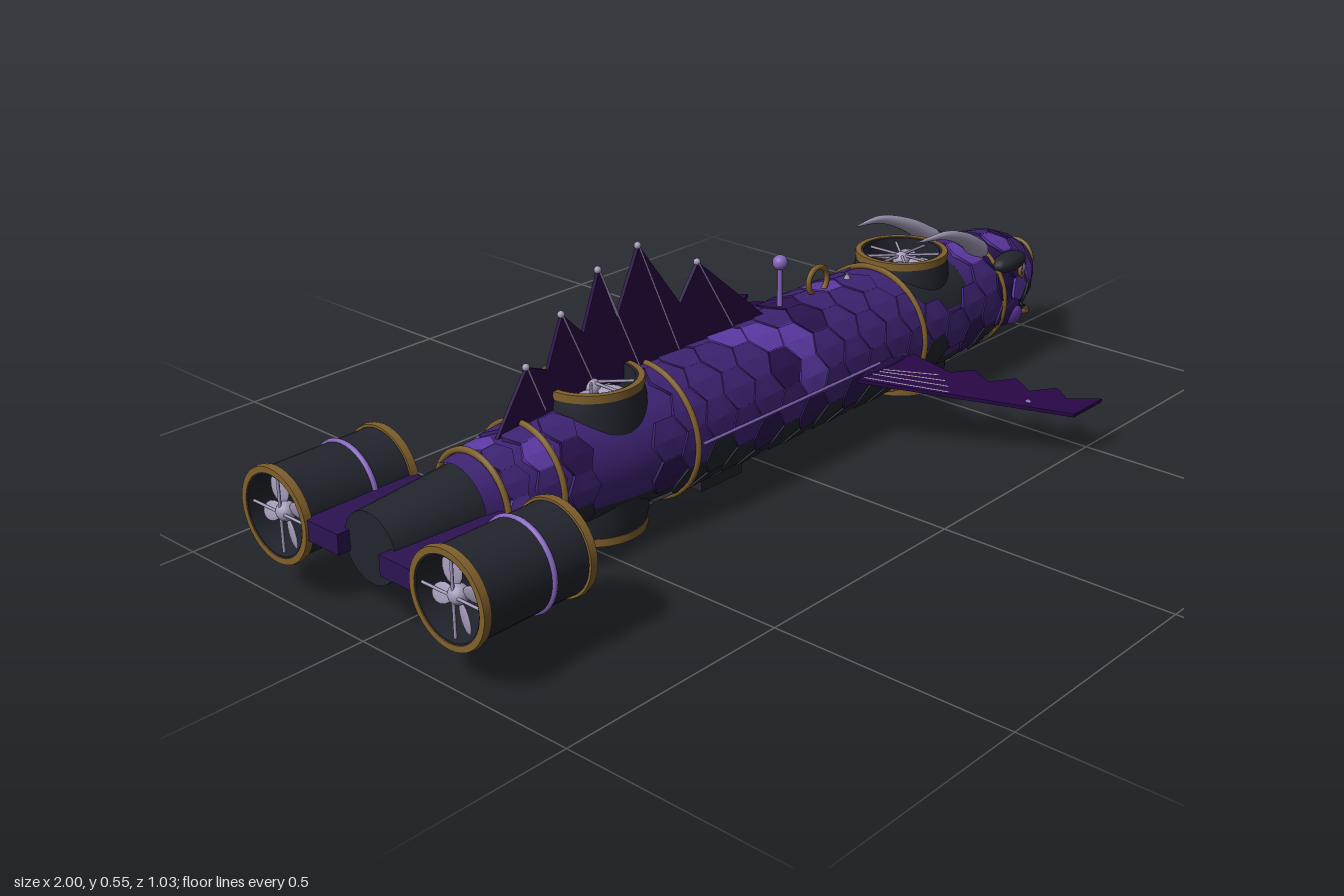
import * as THREE from 'three';
import { mergeGeometries, toCreasedNormals } from 'three/addons/utils/BufferGeometryUtils.js';

const mat = (name, color, side = THREE.FrontSide) =>
  Object.assign(new THREE.MeshStandardMaterial({ color, side }), { name });
const V = (x, y, z) => new THREE.Vector3(x, y, z);

// Hull stations: x, centre height, half height, half width
const STATIONS = [
  [-0.78, 0.17, 0.088, 0.083], [-0.62, 0.17, 0.108, 0.105], [-0.45, 0.166, 0.124, 0.124],
  [-0.3, 0.165, 0.132, 0.134], [0, 0.165, 0.134, 0.137], [0.55, 0.165, 0.134, 0.138],
  [0.7, 0.17, 0.125, 0.132], [0.85, 0.175, 0.1, 0.105], [0.92, 0.168, 0.082, 0.075],
  [0.96, 0.165, 0.06, 0.052], [0.985, 0.165, 0.001, 0.001],
];
const DUCTS = [-0.44, 0.51];

function section(x) {
  let i = 0;
  while (i < STATIONS.length - 2 && x > STATIONS[i + 1][0]) i++;
  const [a, b] = [STATIONS[i], STATIONS[i + 1]];
  return a.map((v, k) => THREE.MathUtils.lerp(v, b[k], (x - a[0]) / (b[0] - a[0])));
}
// Point on the hull at station x and angle a (0 = left side, PI/2 = top)
function hullPoint(x, a, lift = 0) {
  const [, cy, ry, rz] = section(x);
  return V(x, cy + (ry + lift) * Math.sin(a), (rz + lift) * Math.cos(a));
}
const inDuct = (p, r) => DUCTS.some((x) => Math.hypot(p.x - x, p.z) < r);

// Patch of hull skin, left open where the lift ducts pass through
function skin(x0, x1, a0, a1) {
  const nx = Math.ceil((x1 - x0) / 0.01), na = Math.ceil((a1 - a0) / 0.07);
  const pts = [], index = [];
  for (let i = 0; i <= nx; i++)
    for (let j = 0; j <= na; j++)
      pts.push(hullPoint(x0 + (x1 - x0) * i / nx, a0 + (a1 - a0) * j / na));
  const tri = (...t) => { if (!t.some((k) => inDuct(pts[k], 0.088))) index.push(...t); };
  for (let i = 0; i < nx; i++)
    for (let j = 0; j < na; j++) {
      const p = i * (na + 1) + j, q = p + na + 1;
      tri(p, q, p + 1);
      tri(q, q + 1, p + 1);
    }
  const g = new THREE.BufferGeometry().setFromPoints(pts);
  g.setIndex(index);
  g.computeVertexNormals();
  return g;
}

// Thin hexagonal scale wrapped onto the hull, its rear edge slightly raised
function scale(x, a, r) {
  const g = new THREE.CylinderGeometry(r, r, 0.008, 6, 1, false, Math.PI / 6);
  const pos = g.attributes.position, girth = section(x)[3];
  for (let i = 0; i < pos.count; i++) {
    const u = pos.getX(i), h = pos.getY(i), v = pos.getZ(i);
    const p = hullPoint(x + u, a - v / girth, 0.002 + h - u * 0.05);
    pos.setXYZ(i, p.x, p.y, p.z);
  }
  g.computeVertexNormals();
  return g;
}

export function createModel() {
  const model = new THREE.Group();
  const purple = mat('royal purple', 0x3f2475), bright = mat('bright purple', 0x5e3aa8);
  const deep = mat('deep purple', 0x2c1452), finMat = mat('fin purple', 0x2a0848, THREE.DoubleSide);
  const dark = mat('dark iron', 0x23252e), brass = mat('brass', 0x80602c);
  const bone = mat('pale lilac', 0xa59cba), lavender = mat('lavender', 0x8465bd);

  const add = (name, geo, material, pos = [0, 0, 0], parent = model) => {
    const m = new THREE.Mesh(geo, material);
    m.name = name;
    m.position.set(...pos);
    parent.add(m);
    return m;
  };
  const tube = (name, pts, r, material, parent = model, closed = false) =>
    add(name, new THREE.TubeGeometry(new THREE.CatmullRomCurve3(pts, closed), closed ? 64 : 20, r, 6, closed),
      material, [0, 0, 0], parent);
  const blob = (name, r, pos, material) =>
    add(name, new THREE.SphereGeometry(1, 20, 14).scale(...r), material, pos);

  // Hull: purple back, dark belly, dark housing round the forward duct
  const B0 = -0.5, B1 = Math.PI - B0, H = 0.35;
  add('backSkin', mergeGeometries([
    skin(-0.78, 0.41, B0, B1), skin(0.6, 0.985, B0, B1),
    skin(0.41, 0.6, B0, H), skin(0.41, 0.6, Math.PI - H, B1)]), purple);
  add('ductHousing', skin(0.41, 0.6, H, Math.PI - H), dark);
  add('bellySkin', skin(-0.78, 0.985, B1, Math.PI * 2 + B0), dark);

  // Hexagonal scales in staggered rows, merged by colour
  let seed = 11;
  const rnd = () => (seed = (seed * 16807) % 2147483647) / 2147483647;
  const scales = new Map([[purple, []], [bright, []], [deep, []], [dark, []]]);
  for (let i = 0; i < 24; i++) {
    const x = -0.71 + i * 0.069, k = Math.max(0.6, section(x)[3] / 0.138);
    for (let j = 0; j < 11; j++) {
      const a = (j + (i % 2) / 2) / 11 * Math.PI * 2;
      const up = Math.sin(a), roll = rnd();
      if (inDuct(hullPoint(x, a), 0.135) || (x > 0.4 && x < 0.62 && up > 0.35)) continue;
      let c = roll < 0.17 ? bright : roll < 0.27 ? deep : purple;
      if (up < -0.5) c = dark;
      else if (up < -0.1) c = roll < 0.12 ? bright : roll < 0.65 ? deep : roll < 0.85 ? purple : dark;
      else if (x > 0.7 && roll > 0.55) c = deep;
      scales.get(c).push(scale(x, a, 0.047 * k));
    }
  }
  for (const [m, list] of scales) add('scales', mergeGeometries(list), m);

  // Brass hull bands and side rails
  for (const x of [-0.74, -0.62, -0.3, 0.41, 0.72])
    tube('hullBand', Array.from({ length: 32 }, (_, i) => hullPoint(x, i / 16 * Math.PI, 0.006)), 0.0065, brass, model, true);
  for (const a of [0.04, Math.PI - 0.04])
    tube('sideRail', [-0.29, -0.1, 0.1, 0.25].map((x) => hullPoint(x, a, 0.008)), 0.0035, lavender);

  // Ducted fan along y, with brass rims, hub, spokes and blades
  function ductedFan(name, h, waist, rim, inner, spokes, fanHeights) {
    const g = new THREE.Group();
    g.name = name;
    const lathe = (pts) => toCreasedNormals(new THREE.LatheGeometry(pts.map((p) => new THREE.Vector2(...p)), 40), 0.6);
    add('ductWall', lathe([[inner, -h], [rim - 0.004, -h], [waist, -h * 0.75], [waist, h * 0.75],
      [rim - 0.004, h], [inner, h], [inner, -h]]), dark, [0, 0, 0], g);
    for (const y of [-h + 0.006, h - 0.006])
      add('ductRim', lathe([[rim - 0.012, -0.008], [rim, -0.008], [rim + 0.002, 0], [rim, 0.008],
        [rim - 0.012, 0.008], [rim - 0.012, -0.008]]), brass, [0, y, 0], g);
    for (const y of fanHeights) {
      add('fanHub', new THREE.SphereGeometry(0.019, 16, 10), bone, [0, y, 0], g);
      for (let i = 0; i < spokes; i++) {
        const spoke = new THREE.CylinderGeometry(0.003, 0.003, inner, 6).rotateZ(Math.PI / 2);
        add('fanSpoke', spoke.translate(inner / 2, Math.sign(y) * 0.012, 0).rotateY(i * 2 * Math.PI / spokes),
          bone, [0, y, 0], g);
      }
      for (let i = 0; i < 4; i++) {
        const blade = new THREE.SphereGeometry(1, 14, 8).scale(0.029, 0.004, 0.019).rotateX(0.3);
        add('fanBlade', blade.translate(0.043, 0, 0).rotateY(i * Math.PI / 2 + 0.3), bone, [0, y, 0], g);
      }
    }
    model.add(g);
    return g;
  }
  for (const x of DUCTS) {
    const duct = ductedFan('liftDuct', 0.151, 0.104, 0.1, 0.083, 8, [-0.128, 0.128]);
    duct.position.set(x, 0.167, 0);
    add('fanGuard', new THREE.TorusGeometry(0.055, 0.0025, 6, 32).rotateX(Math.PI / 2), bone, [0, -0.14, 0], duct);
  }

  // Tail cone and side thrusters on pylons
  add('tailCone', new THREE.CylinderGeometry(0.083, 0.068, 0.21, 32).rotateZ(-Math.PI / 2), dark, [-0.865, 0.168, 0]);
  for (const s of [-1, 1]) {
    const t = ductedFan('thruster', 0.125, 0.086, 0.092, 0.077, 4, [-0.1, 0.1]);
    t.rotation.z = Math.PI / 2;
    t.position.set(-0.873, 0.165, s * 0.229);
    add('thrusterBand', new THREE.CylinderGeometry(0.0885, 0.0885, 0.009, 40).rotateZ(Math.PI / 2), lavender,
      [-0.84, 0.165, s * 0.229]).geometry = new THREE.TorusGeometry(0.086, 0.0055, 8, 40).rotateY(Math.PI / 2);
    add('pylon', new THREE.BoxGeometry(0.245, 0.04, 0.09), deep, [-0.873, 0.165, s * 0.1]);
  }

  // Thin fins cut from an outline
  const plate = (pts) => new THREE.ExtrudeGeometry(new THREE.Shape(pts.map((p) => new THREE.Vector2(...p))),
    { depth: 0.008, bevelEnabled: false }).translate(0, 0, -0.004);

  // Sail along the back, with ribs and tip knobs
  const peaks = [[-0.6, 0.385], [-0.51, 0.46], [-0.415, 0.52], [-0.31, 0.54], [-0.148, 0.465]];
  add('dorsalSail', plate([[0.06, 0.29], peaks[4], [-0.2, 0.395], peaks[3], [-0.372, 0.415], peaks[2],
    [-0.458, 0.41], peaks[1], [-0.55, 0.365], peaks[0], [-0.685, 0.26], [-0.45, 0.28]]), finMat);
  peaks.forEach(([x, y], i) => {
    const foot = [-0.56, -0.43, -0.31, -0.2, -0.04][i];
    tube('sailRib', [V(foot, 0.29, 0), V((x + foot) / 2, (y + 0.29) / 2, 0), V(x, y, 0)], 0.0048, bone);
    blob('sailKnob', [0.007, 0.007, 0.007], [x, y, 0], bone);
  });

  // Pectoral fins with fanned ribs
  for (const s of [1, -1]) {
    const g = new THREE.Group();
    g.name = 'pectoralFin';
    g.position.set(0, 0.153, s * 0.125);
    g.rotation.x = s * (Math.PI / 2 + 0.13);
    add('finMembrane', plate([[0.17, 0], [0.42, 0.393], [0.525, 0.393], [0.465, 0.345], [0.49, 0.305], [0.43, 0.275],
      [0.455, 0.225], [0.395, 0.195], [0.415, 0.145], [0.365, 0.12], [0.37, 0]]), finMat, [0, 0, 0], g);
    for (const [x, y] of [[0.29, 0.17], [0.31, 0.155], [0.325, 0.135], [0.335, 0.11]])
      tube('finRib', [V(0.2 + (x - 0.29) * 1.3, 0.02, 0), V(x, y, 0)], 0.0055, bone, g);
    add('finStud', new THREE.SphereGeometry(0.008, 10, 8), lavender, [0.39, 0.3, 0], g);
    model.add(g);
    blob('finRoot', [0.09, 0.018, 0.014], [0.27, 0.153, s * 0.135], deep);
  }

  // Horns: tapered tubes sweeping back
  for (const s of [1, -1]) {
    const path = new THREE.CatmullRomCurve3([V(0.71, 0.28, s * 0.065), V(0.64, 0.325, s * 0.075),
      V(0.55, 0.36, s * 0.086), V(0.45, 0.368, s * 0.083)]);
    const horn = new THREE.TubeGeometry(path, 24, 0.023, 10), pos = horn.attributes.position;
    for (let i = 0; i < pos.count; i++) {
      const t = Math.floor(i / 11) / 24, c = path.getPointAt(t);
      const p = V(0, 0, 0).fromBufferAttribute(pos, i).sub(c).multiplyScalar(1.05 - t).add(c);
      pos.setXYZ(i, p.x, p.y, p.z);
    }
    add('horn', horn, bone);
    // Brow, eye and cheek
    blob('brow', [0.055, 0.022, 0.026], [0.765, 0.25, s * 0.112], dark);
    blob('eye', [0.016, 0.014, 0.012], [0.825, 0.217, s * 0.103], lavender);
    add('eyeRing', new THREE.TorusGeometry(0.018, 0.005, 6, 20).rotateY(s * 0.35), brass, [0.825, 0.217, s * 0.108]);
    blob('cheek', [0.06, 0.032, 0.022], [0.75, 0.135, s * 0.113], deep);
    blob('cheekScale', [0.03, 0.022, 0.012], [0.77, 0.125, s * 0.127], bright);
  }

  // Snout, nose arch and jaw
  blob('snout', [0.065, 0.066, 0.046], [0.935, 0.165, 0], dark);
  add('noseArch', new THREE.TorusGeometry(0.042, 0.005, 6, 24, Math.PI).rotateY(Math.PI / 2), brass, [0.966, 0.186, 0]);
  const jaw = add('jaw', new THREE.BoxGeometry(0.14, 0.02, 0.11), dark, [0.86, 0.09, 0]);
  jaw.rotation.z = -0.2;
  for (const s of [1, -1])
    tube('jawTrim', [V(0.76, 0.1, s * 0.08), V(0.85, 0.085, s * 0.065), V(0.93, 0.072, s * 0.056)], 0.006, brass);
  add('jawLip', new THREE.BoxGeometry(0.014, 0.014, 0.122), brass, [0.928, 0.074, 0]);

  // Deck fittings: mast, lifting ring, small spike
  add('mast', new THREE.CylinderGeometry(0.005, 0.006, 0.1, 10), lavender, [0.1, 0.345, 0]);
  blob('mastBall', [0.016, 0.016, 0.016], [0.1, 0.398, 0], lavender);
  add('liftingRing', new THREE.TorusGeometry(0.03, 0.006, 8, 28), brass, [0.222, 0.325, 0]);
  add('deckSpike', new THREE.ConeGeometry(0.014, 0.03, 8), bone, [0.32, 0.305, 0]);

  // Belly hatch with brass frame and ports
  add('bellyHatch', new THREE.BoxGeometry(0.12, 0.03, 0.11), dark, [-0.14, 0.025, 0]);
  add('hatchPlate', new THREE.BoxGeometry(0.1, 0.008, 0.09), brass, [-0.14, 0.009, 0]);
  for (const x of [-0.165, -0.115])
    for (const z of [-0.022, 0.022])
      add('hatchPort', new THREE.CylinderGeometry(0.014, 0.014, 0.006, 12), dark, [x, 0.004, z]);
  return model;
}
